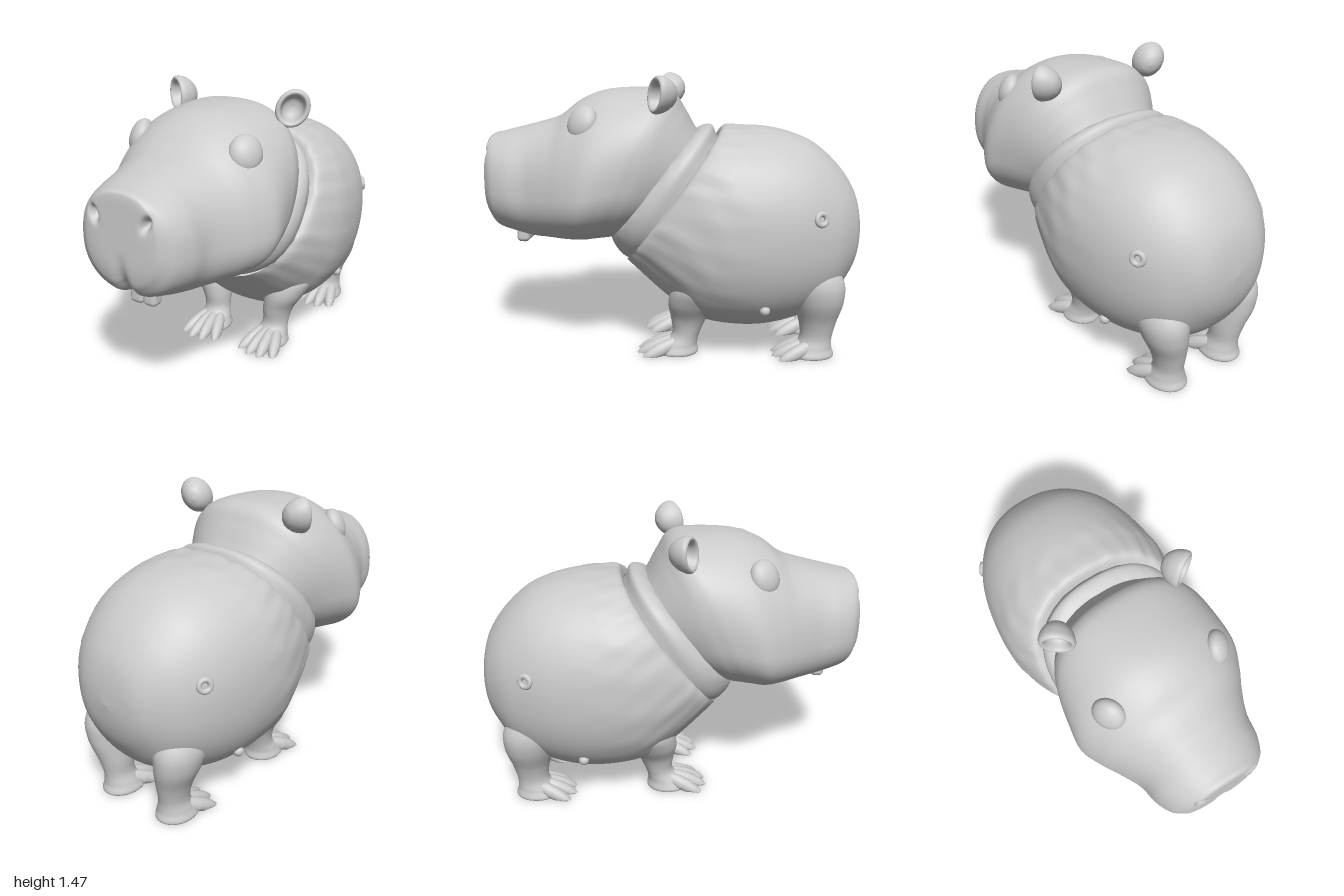
import * as THREE from 'three';
import { RoundedBoxGeometry } from 'three/addons/geometries/RoundedBoxGeometry.js';

const material = new THREE.MeshStandardMaterial({ color: 0xcccccc, side: THREE.DoubleSide });

function add(parent, name, geometry) {
  const mesh = new THREE.Mesh(geometry, material);
  mesh.name = name;
  parent.add(mesh);
  return mesh;
}

// Smooth interpolation between rows of numbers, t in 0..1
function sampleRows(rows, t) {
  const f = t * (rows.length - 1);
  const i = Math.min(Math.floor(f), rows.length - 2);
  const u = f - i;
  const at = k => rows[Math.max(0, Math.min(rows.length - 1, k))];
  return rows[i].map((b, k) => {
    const a = at(i - 1)[k], c = at(i + 1)[k], d = at(i + 2)[k];
    return b + 0.5 * u * (c - a + u * (2 * a - 5 * b + 4 * c - d + u * (3 * (b - c) + d - a)));
  });
}

// Closed rings joined along rows; point(row, angle, t) gives one position
function loft(rows, point, steps, sides) {
  const positions = [], index = [];
  for (let i = 0; i <= steps; i++) {
    const row = sampleRows(rows, i / steps);
    for (let j = 0; j < sides; j++) {
      positions.push(...point(row, (j / sides) * Math.PI * 2, i / steps));
      if (i === steps) continue;
      const a = i * sides + j, b = i * sides + (j + 1) % sides;
      index.push(a, a + sides, b, b, a + sides, b + sides);
    }
  }
  const geometry = new THREE.BufferGeometry();
  geometry.setAttribute('position', new THREE.Float32BufferAttribute(positions, 3));
  geometry.setIndex(index);
  geometry.computeVertexNormals();
  return geometry;
}

const power = (v, n) => Math.sign(v) * Math.pow(Math.abs(v), 2 / n);

// Slanted section: row = [topZ, topY, bottomZ, bottomY, halfWidth, widest, topRoundness]
function section([tz, ty, bz, by, w, c, n], angle) {
  const s = Math.sin(angle), k = Math.cos(angle);
  const e = k > 0 ? n : 2.2;
  const v = c + (k > 0 ? 1 - c : c) * power(k, e);
  return [Math.max(0, w) * power(s, e), by + (ty - by) * v, bz + (tz - bz) * v];
}

const bodyRows = [
  [-1, 0.65, -1, 0.65, 0, 0.5, 2.2],
  [-0.985, 0.78, -0.98, 0.52, 0.15, 0.5, 2.2],
  [-0.95, 0.89, -0.93, 0.4, 0.24, 0.5, 2.2],
  [-0.87, 1.005, -0.82, 0.26, 0.345, 0.5, 2.2],
  [-0.75, 1.112, -0.62, 0.165, 0.435, 0.5, 2.2],
  [-0.62, 1.17, -0.4, 0.13, 0.485, 0.5, 2.2],
  [-0.48, 1.2, -0.15, 0.165, 0.505, 0.5, 2.2],
  [-0.38, 1.203, 0.02, 0.28, 0.49, 0.5, 2.3],
  [-0.27, 1.2, 0.19, 0.43, 0.44, 0.48, 2.4],
  [-0.24, 1.14, 0.25, 0.48, 0.395, 0.48, 2.4],
];

const collarRows = [
  [-0.32, 1.05, 0.08, 0.46, 0.36, 0.48, 2.4],
  [-0.24, 1.13, 0.23, 0.485, 0.393, 0.48, 2.4],
  [-0.2, 1.205, 0.29, 0.525, 0.405, 0.48, 2.4],
  [-0.12, 1.18, 0.33, 0.59, 0.375, 0.48, 2.4],
  [-0.08, 1.1, 0.34, 0.65, 0.3, 0.48, 2.4],
];

const headRows = [
  [-0.2, 1.1, 0.22, 0.64, 0.3, 0.45, 2.4],
  [-0.13, 1.17, 0.28, 0.62, 0.365, 0.45, 2.4],
  [-0.06, 1.29, 0.33, 0.605, 0.415, 0.43, 2.4],
  [0.0, 1.375, 0.37, 0.6, 0.44, 0.4, 2.45],
  [0.1, 1.402, 0.42, 0.595, 0.46, 0.38, 2.4],
  [0.33, 1.395, 0.48, 0.59, 0.475, 0.36, 2.15],
  [0.48, 1.345, 0.57, 0.59, 0.43, 0.37, 2.1],
  [0.6, 1.258, 0.66, 0.595, 0.372, 0.4, 2.3],
  [0.74, 1.213, 0.75, 0.6, 0.318, 0.42, 2.4],
  [0.85, 1.185, 0.85, 0.625, 0.3, 0.44, 2.3],
  [0.93, 1.165, 0.93, 0.65, 0.265, 0.45, 2.3],
  [0.97, 1.155, 0.97, 0.69, 0.22, 0.45, 2.4],
  [0.985, 1.13, 0.99, 0.73, 0.185, 0.45, 2.5],
  [0.99, 1.03, 1, 0.8, 0.11, 0.45, 2.4],
  [0.995, 0.91, 0.995, 0.91, 0, 0.45, 2.2],
];

// Loose folds of skin, strongest toward the front of the body
function bodyPoint(row, angle, t) {
  const [x, y, z] = section(row, angle);
  const fold = Math.sin(angle * 17 + 3 * Math.sin(t * 9)) + Math.sin(angle * 29 - t * 14);
  const k = 1 + 0.005 * fold * THREE.MathUtils.smoothstep(t, 0.5, 0.9);
  return [x * k, 0.67 + (y - 0.67) * k, z];
}

// Nostril dents and the cleft of the upper lip
function headPoint(row, angle) {
  let [x, y, z] = section(row, angle);
  if (z > 0.75) {
    const dx = Math.abs(x) - 0.145 - (y - 1.03) * 0.25;
    z -= 0.05 * Math.exp(-(dx * dx) / 0.0004 - ((y - 1.03) ** 2) / 0.0009);
    const cleft = Math.exp(-(x * x) / 0.0012) * THREE.MathUtils.smoothstep(z, 0.75, 0.95);
    y += 0.035 * cleft * (1 - THREE.MathUtils.smoothstep(y, 0.65, 0.85));
    z -= 0.02 * cleft * (1 - THREE.MathUtils.smoothstep(y, 0.72, 0.9));
  }
  return [x, y, z];
}

// Leg rows = [y, x, z, radiusX, radiusZ]
const frontLegRows = [
  [0.56, 0.25, -0.2, 0.08, 0.08], [0.41, 0.27, -0.155, 0.12, 0.13], [0.3, 0.24, -0.112, 0.112, 0.122],
  [0.2, 0.205, -0.095, 0.085, 0.095], [0.11, 0.195, -0.08, 0.073, 0.073],
  [0.05, 0.19, -0.045, 0.088, 0.095], [0, 0.19, -0.03, 0.095, 0.11], [0, 0.19, -0.03, 0, 0],
];
const backLegRows = [
  [0.6, 0.21, -0.68, 0.08, 0.1], [0.44, 0.235, -0.74, 0.118, 0.155], [0.32, 0.232, -0.77, 0.11, 0.135],
  [0.2, 0.205, -0.775, 0.085, 0.1], [0.11, 0.195, -0.77, 0.073, 0.085],
  [0.05, 0.19, -0.755, 0.088, 0.1], [0, 0.19, -0.745, 0.095, 0.115], [0, 0.19, -0.745, 0, 0],
];

function leg(parent, name, rows, side) {
  const group = new THREE.Group();
  group.name = name;
  add(group, 'leg', loft(rows, ([y, x, z, rx, rz], a) =>
    [side * x + rx * Math.sin(a), Math.max(0, y), z + rz * Math.cos(a)], 40, 32));
  // Four splayed toes sloping down from the ankle, flat underneath
  const footZ = rows[6][2];
  [-0.36, -0.12, 0.12, 0.36].forEach((spread, i) => {
    const toe = new THREE.SphereGeometry(1, 16, 12);
    toe.scale(0.034, 0.038, 0.12).rotateX(0.42).rotateY(spread);
    toe.translate(side * 0.19 + spread * 0.19, 0.035, footZ + (i % 3 ? 0.1 : 0.07));
    const p = toe.attributes.position;
    for (let k = 0; k < p.count; k++) p.setY(k, Math.max(0, p.getY(k)));
    toe.computeVertexNormals();
    add(group, 'toe', toe);
  });
  parent.add(group);
}

function aim(mesh, from, direction) {
  mesh.quaternion.setFromUnitVectors(from, new THREE.Vector3(...direction).normalize());
  return mesh;
}

export function createModel() {
  const model = new THREE.Group();
  model.name = 'capybara';
  const Y = new THREE.Vector3(0, 1, 0), Z = new THREE.Vector3(0, 0, 1);

  add(model, 'body', loft(bodyRows, bodyPoint, 90, 112));
  add(model, 'neckCollar', loft(collarRows, bodyPoint, 24, 112));
  add(model, 'head', loft(headRows, headPoint, 168, 128));

  // Hollow cup of the ear
  const earProfile = [[0, -0.095], [0.045, -0.08], [0.078, -0.04], [0.093, 0.005], [0.092, 0.03],
    [0.08, 0.04], [0.066, 0.028], [0.056, -0.01], [0.035, -0.035], [0, -0.045]];
  const earCurve = new THREE.SplineCurve(earProfile.map(p => new THREE.Vector2(...p)));

  for (const side of [1, -1]) {
    const word = side > 0 ? 'left' : 'right';

    const ear = add(model, word + 'Ear', new THREE.LatheGeometry(earCurve.getPoints(36), 32));
    ear.scale.set(0.88, 0.9, 1.05);
    aim(ear, Y, [side * 0.5, 0.05, 0.85]).position.set(side * 0.335, 1.377, 0.04);

    const eye = add(model, word + 'Eye', new THREE.SphereGeometry(1, 32, 24));
    eye.scale.set(0.085, 0.092, 0.055);
    aim(eye, Z, [side * 0.78, 0.35, 0.5]).position.set(side * 0.305, 1.235, 0.435);

    const tooth = add(model, word + 'Tooth', new RoundedBoxGeometry(0.075, 0.12, 0.07, 4, 0.025));
    tooth.position.set(side * 0.037, 0.62, 0.825);

    // Ringed knob on the flank and a small nub low on the side
    const ring = add(model, word + 'FlankRing', new THREE.TorusGeometry(0.028, 0.014, 12, 24));
    aim(ring, Z, [side * 0.85, 0.15, -0.5]).position.set(side * 0.396, 0.78, -0.755);
    const nub = add(model, word + 'SideNub', new THREE.SphereGeometry(0.027, 16, 12));
    nub.position.set(side * 0.375, 0.3, -0.49);

    leg(model, word + 'FrontLeg', frontLegRows, side);
    leg(model, word + 'BackLeg', backLegRows, side);
  }
  return model;
}
